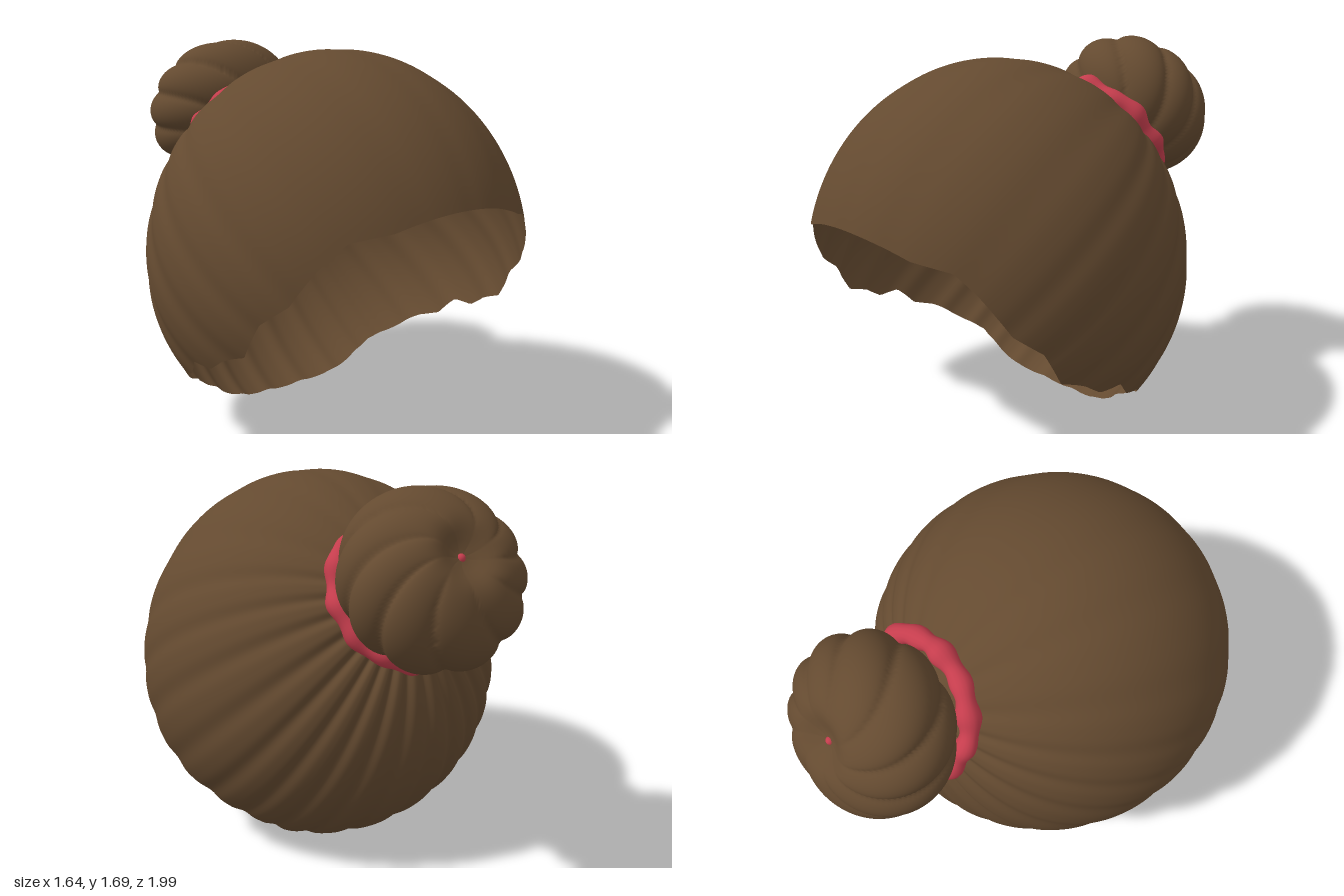
import * as THREE from 'three';
import { mergeVertices } from 'three/addons/utils/BufferGeometryUtils.js';

const TILT = -0.955; // leans the bun axis up and back
const TAU = Math.PI * 2;

// Grid surface closed around u; fn(angle, v, target) gives each point
function ringSurface(fn, nu, nv) {
  const pos = [], index = [], p = new THREE.Vector3();
  for (let j = 0; j <= nv; j++) {
    for (let i = 0; i < nu; i++) {
      fn((i / nu) * TAU, j / nv, p);
      pos.push(p.x, p.y, p.z);
    }
  }
  for (let j = 0; j < nv; j++) {
    for (let i = 0; i < nu; i++) {
      const k = (i + 1) % nu;
      const a = j * nu + i, b = j * nu + k, c = a + nu, d = b + nu;
      index.push(a, c, b, b, c, d);
    }
  }
  let g = new THREE.BufferGeometry();
  g.setAttribute('position', new THREE.Float32BufferAttribute(pos, 3));
  g.setIndex(index);
  g = mergeVertices(g, 1e-5);
  g.computeVertexNormals();
  return g;
}

// Height of the ragged hem for each depth z, from nape to brow
const HEM = [
  [-0.6, -0.6], [-0.21, -0.02], [-0.15, 0.03], [-0.13, 0.16], [-0.09, 0.19], [0, 0.26], [0.06, 0.3],
  [0.16, 0.33], [0.24, 0.41], [0.35, 0.41], [0.43, 0.46], [0.54, 0.5], [0.62, 0.64],
  [0.72, 0.72], [0.8, 0.87], [0.85, 0.95], [0.93, 0.98], [1.0, 1.05], [1.1, 1.2],
];
function hemHeight(z) {
  for (let i = 1; i < HEM.length; i++) {
    const [z0, y0] = HEM[i - 1], [z1, y1] = HEM[i];
    if (z <= z1) return y0 + ((y1 - y0) * (z - z0)) / (z1 - z0);
  }
  return 1.2;
}

// Point on the smooth head ellipsoid, in polar angles about the bun axis
const X_AXIS = new THREE.Vector3(1, 0, 0);
function headPoint(phi, theta, p) {
  p.set(Math.sin(phi) * Math.sin(theta), Math.cos(theta), Math.cos(phi) * Math.sin(theta));
  p.applyAxisAngle(X_AXIS, TILT);
  const ry = p.y > 0 ? 0.9 : 0.83;
  const s = 1 / Math.hypot(p.x / 0.82, p.y / ry, p.z / 0.84);
  return p.multiplyScalar(s).add(new THREE.Vector3(0, 0.73, 0.2));
}

// Polar angle at which a strand from the bun meets the hem
function hemAngle(phi) {
  const p = new THREE.Vector3();
  const inside = (t) => {
    headPoint(phi, t, p);
    return p.y > hemHeight(p.z);
  };
  let hi = 0.3;
  while (hi < Math.PI && inside(hi)) hi += 0.02;
  let lo = hi - 0.02;
  for (let i = 0; i < 16; i++) {
    const mid = (lo + hi) / 2;
    if (inside(mid)) lo = mid; else hi = mid;
  }
  return lo;
}

function capGeometry() {
  const ends = new Map();
  const centre = new THREE.Vector3(0, 0.73, 0.2);
  return ringSurface((phi, v, p) => {
    if (!ends.has(phi)) ends.set(phi, hemAngle(phi));
    const theta = v * ends.get(phi);
    headPoint(phi, theta, p);
    // combed grooves, finer and deeper at the back
    const back = (1 - Math.cos(phi)) / 2;
    const phase = 23 * phi - 7 * Math.sin(phi) + 0.8 * Math.sin(5 * phi);
    const groove = Math.pow(Math.abs(Math.cos(phase / 2)), 4);
    const fade = Math.min(1, theta / 0.35) * (1 - 0.45 * v);
    const depth = (0.005 + 0.021 * back) * groove * fade;
    p.sub(centre).multiplyScalar(1 - depth).add(centre);
  }, 420, 56);
}

// Twisted lobes that spiral outwards from a dimpled tip
function bunGeometry() {
  return ringSurface((phi, v, p) => {
    const s = v * Math.PI;
    const turn = phi - 1.7 * v - 0.12 * Math.sin(2 * phi);
    const lobe = Math.sqrt(Math.abs(Math.sin(4.5 * turn))) - 0.7;
    const swell = 1 + 0.11 * lobe * Math.min(1, s / 0.4);
    const r = 0.36 * Math.pow(Math.max(0, Math.sin(s)), 0.85) * swell;
    const dimple = 0.06 * Math.exp(-Math.pow(s / 0.22, 2));
    const y = 0.23 + 0.265 * Math.cos(s) * (1 + 0.06 * lobe * Math.sin(s)) - dimple;
    p.set(Math.sin(phi) * r * 1.03, y, Math.cos(phi) * r - 0.03);
  }, 216, 48);
}

// Ruffled elastic band
function bandGeometry() {
  return ringSurface((phi, v, p) => {
    const beta = v * TAU;
    const tube = 0.045 + 0.006 * Math.sin(13 * phi) + 0.003 * Math.sin(7 * phi + 1);
    const r = 0.285 + 0.005 * Math.sin(9 * phi) + tube * Math.cos(beta);
    p.set(Math.sin(phi) * r, -tube * Math.sin(beta) + 0.006 * Math.sin(8 * phi), Math.cos(phi) * r);
  }, 156, 16);
}

export function createModel() {
  const hair = new THREE.MeshStandardMaterial({ color: 0x644a30, side: THREE.DoubleSide });
  hair.name = 'brownHair';
  const red = new THREE.MeshStandardMaterial({ color: 0xc53d4d });
  red.name = 'redBand';

  const model = new THREE.Group();
  model.name = 'hairWithBun';
  const add = (parent, name, geometry, material) => {
    const mesh = new THREE.Mesh(geometry, material);
    mesh.name = name;
    parent.add(mesh);
    return mesh;
  };

  add(model, 'hairCap', capGeometry(), hair);

  // Bun and band share the tilted axis
  const topknot = new THREE.Group();
  topknot.name = 'topknot';
  topknot.position.set(0, 1.235, -0.49);
  topknot.rotation.x = TILT;
  model.add(topknot);
  add(topknot, 'bun', bunGeometry(), hair);
  add(topknot, 'hairBand', bandGeometry(), red);
  // Bit of band showing at the tip of the bun
  add(topknot, 'bandTip', new THREE.SphereGeometry(0.018, 12, 8), red).position.set(0, 0.43, -0.03);

  return model;
}
